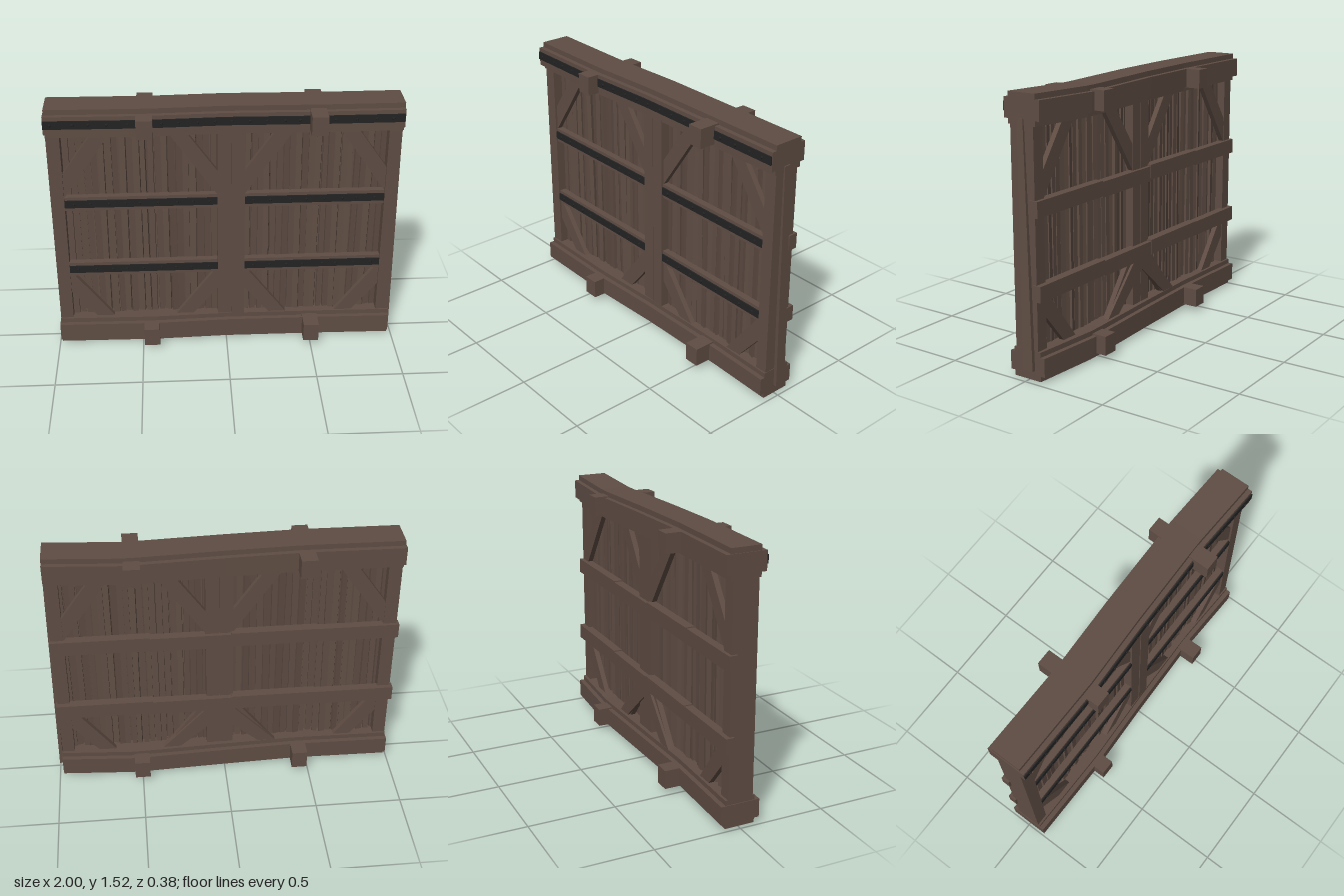
import * as THREE from 'three';

const wood = new THREE.MeshStandardMaterial({ color: 0x5f4d44, flatShading: true });
wood.name = 'weathered wood';
const iron = new THREE.MeshStandardMaterial({ color: 0x232324, flatShading: true });
iron.name = 'dark iron';

// Gentle warp of the long timbers: [x, dy, dz]
const WARP = [[-1, 0, 0.003], [-0.43, 0, 0.011], [0, 0, -0.005], [0.54, -0.01, -0.017], [1, 0, 0.003]];
function warpAt(x) {
  let i = 0;
  while (i < WARP.length - 2 && x > WARP[i + 1][0]) i++;
  const a = WARP[i], b = WARP[i + 1];
  const t = (x - a[0]) / (b[0] - a[0]);
  return [a[1] + (b[1] - a[1]) * t, a[2] + (b[2] - a[2]) * t];
}

let seed = 7;
function rand(a, b) {
  seed = (seed * 16807) % 2147483647;
  return a + (b - a) * (seed / 2147483647);
}

export function createModel() {
  const model = new THREE.Group();
  model.name = 'woodenGate';

  function add(geometry, name, material = wood) {
    const mesh = new THREE.Mesh(geometry, material);
    mesh.name = name;
    model.add(mesh);
    return mesh;
  }
  // Box given by its limits on each axis
  function block(name, x0, x1, y0, y1, z0, z1, material) {
    const g = new THREE.BoxGeometry(x1 - x0, y1 - y0, z1 - z0);
    g.translate((x0 + x1) / 2, (y0 + y1) / 2, (z0 + z1) / 2);
    return add(g, name, material);
  }
  // Same, bent along the warp curve
  function warped(name, x0, x1, y0, y1, z0, z1, material) {
    const g = new THREE.BoxGeometry(x1 - x0, y1 - y0, z1 - z0, 24, 1, 1);
    g.translate((x0 + x1) / 2, (y0 + y1) / 2, (z0 + z1) / 2);
    const p = g.attributes.position;
    for (let i = 0; i < p.count; i++) {
      const [dy, dz] = warpAt(p.getX(i));
      p.setY(i, p.getY(i) + dy);
      p.setZ(i, p.getZ(i) + dz);
    }
    return add(g, name, material);
  }
  function rivets(x0, x1, y, z, bent) {
    const n = Math.round((x1 - x0) / 0.1);
    for (let i = 0; i < n; i++) {
      const x = x0 + (x1 - x0) * (i + 0.5) / n + rand(-0.012, 0.012);
      const [dy, dz] = bent ? warpAt(x) : [0, 0];
      const r = add(new THREE.CylinderGeometry(0.005, 0.01, 0.008, 6), 'rivet', iron);
      r.rotation.x = Math.PI / 2;
      r.position.set(x, y + dy, z + dz + 0.003);
    }
  }

  // Top and bottom beams with facing boards
  warped('topBeam', -0.985, 0.975, 1.365, 1.53, -0.088, 0.085);
  warped('topFacing', -0.99, 0.975, 1.393, 1.5, -0.115, 0.112);
  warped('bottomBeam', -0.985, 0.975, 0.015, 0.178, -0.088, 0.085);
  warped('bottomFacing', -0.99, 0.975, 0.045, 0.15, -0.115, 0.112);

  // Through pegs
  for (const x of [-0.445, 0.5]) {
    block('topPeg', x - 0.045, x + 0.045, 1.39, 1.5, -0.192, 0.192);
    block('bottomPeg', x - 0.045, x + 0.045, 0.04, 0.15, -0.192, 0.192);
  }

  // Iron strap along the top beam
  for (const [a, b] of [[-0.99, -0.49], [-0.4, 0.455], [0.545, 0.972]]) {
    warped('topStrap', a, b, 1.43, 1.477, 0.11, 0.119, iron);
    rivets(a, b, 1.453, 0.118, true);
  }

  // Upright posts
  block('rightPost', -0.985, -0.91, 0.1, 1.42, -0.07, 0.077);
  block('leftPost', 0.9, 0.972, 0.1, 1.42, -0.07, 0.077);
  block('centrePost', -0.05, 0.025, 0.1, 1.42, -0.07, 0.076);
  block('centrePost', 0.03, 0.105, 0.1, 1.42, -0.07, 0.078);
  block('centreFiller', 0.02, 0.035, 0.1, 1.42, -0.062, 0.066);

  // Leaning board on the left end
  const lean = new THREE.BoxGeometry(0.02, 1.33, 0.06);
  const lp = lean.attributes.position;
  for (let i = 0; i < lp.count; i++) {
    const up = lp.getY(i) > 0;
    lp.setX(i, lp.getX(i) + (up ? 0.972 : 0.988));
    lp.setZ(i, lp.getZ(i) * (up ? 0.65 : 1.1) + (up ? 0.008 : -0.018));
    lp.setY(i, lp.getY(i) + 0.735);
  }
  lean.computeVertexNormals();
  add(lean, 'endBoard');

  const panels = [[-0.91, -0.05], [0.105, 0.9]];

  // Front rails with riveted straps
  for (const [a, b] of panels) {
    for (const y of [0.942, 0.51]) {
      block('frontRail', a, b, y - 0.044, y + 0.042, 0.03, 0.068);
      block('railStrap', a, b, y - 0.022, y + 0.023, 0.067, 0.076, iron);
      rivets(a, b, y, 0.075, false);
    }
  }

  // Back rails, pieced together from uneven lengths
  const joints = [-0.998, -0.53, -0.04, 0.42, 0.98];
  for (const y of [0.938, 0.492]) {
    for (let i = 0; i < joints.length - 1; i++) {
      const d = [0, 0.006, -0.003, 0.004][i];
      const rail = block('backRail', joints[i], joints[i + 1], y - 0.044 + d, y + 0.044 + d,
        -0.088 - Math.abs(d), -0.04);
      rail.position.z = y < 0.6 ? -0.008 : 0;
    }
  }

  // Corner braces, cut flush to the post and beam
  function brace(x, dir, y, vert, run, rise, z0) {
    const s = new THREE.Shape();
    s.moveTo(x, y + vert * rise);
    s.lineTo(x, y + vert * (rise - 0.15));
    s.lineTo(x + dir * (run - 0.1), y);
    s.lineTo(x + dir * run, y);
    s.closePath();
    const g = new THREE.ExtrudeGeometry(s, { depth: 0.03, bevelEnabled: false });
    g.translate(0, 0, z0);
    add(g, 'cornerBrace');
  }
  for (const z of [0.035, -0.067]) {
    for (const [a, b] of panels) {
      for (const [x, dir] of [[a, 1], [b, -1]]) {
        brace(x, dir, 1.37, -1, 0.27, 0.39, z);
        brace(x, dir, 0.17, 1, 0.25, 0.33, z);
      }
    }
  }
  // Lower back braces meeting over the centre post
  for (const dir of [-1, 1]) brace(0.027, dir, 0.17, 1, 0.34, 0.36, -0.082);

  // Rough vertical planks in two staggered layers
  for (const [a, b] of panels) {
    for (const layer of [0, 1]) {
      const n = 22;
      const pitch = (b - a) / n;
      for (let i = 0; i < n + layer; i++) {
        const x = a + pitch * (i + (layer ? 0 : 0.5));
        const g = new THREE.BoxGeometry(pitch * rand(0.72, 0.98), 1.24, 0.018);
        const plank = add(g, 'plank');
        plank.position.set(x, 0.77 + rand(-0.01, 0.01), (layer ? -0.014 : 0.016) + rand(-0.008, 0.008));
        plank.rotation.set(rand(-0.008, 0.008), rand(-0.3, 0.3), rand(-0.007, 0.007));
      }
    }
  }
  return model;
}
